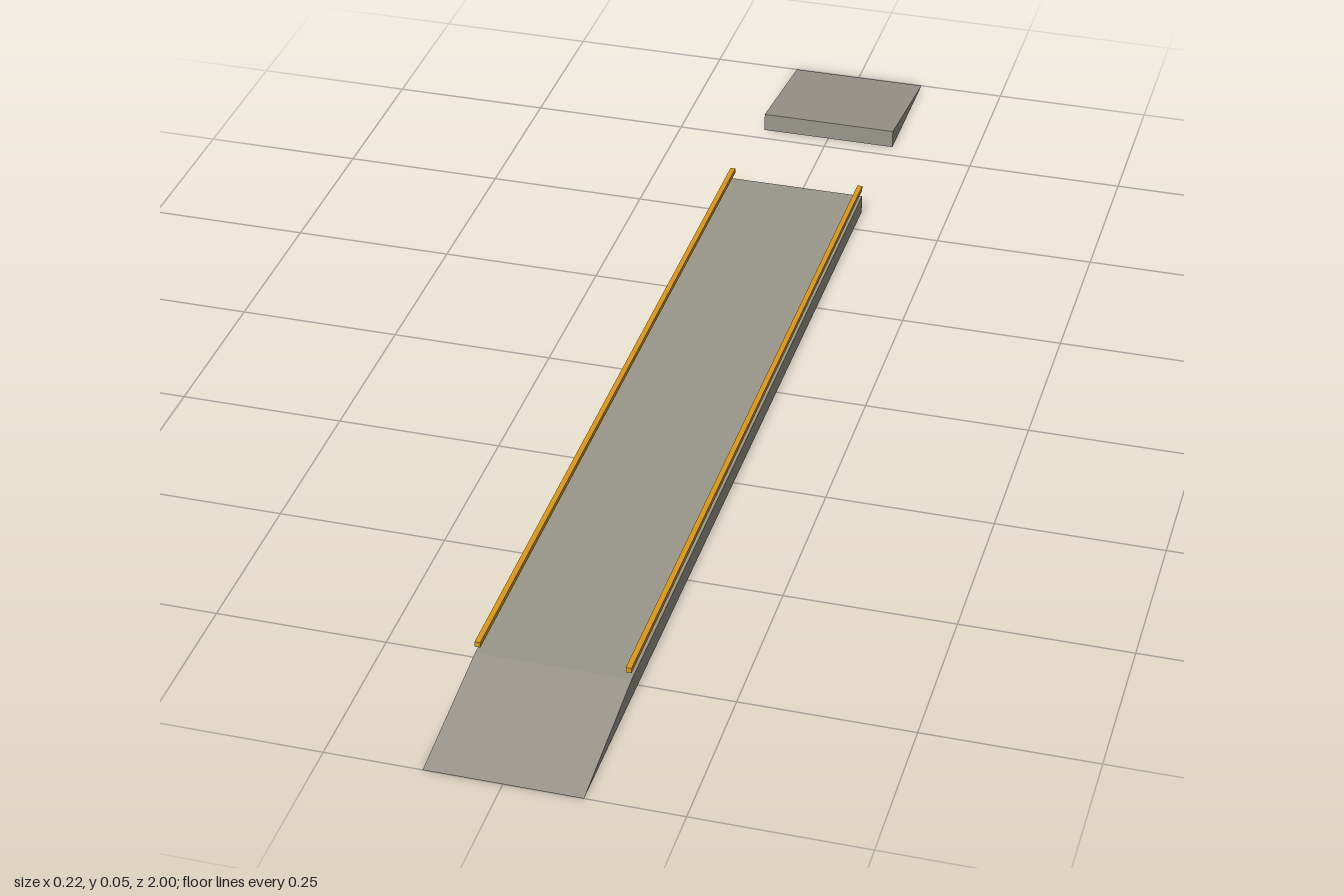
import * as THREE from 'three';

const WIDTH = 0.222, HEIGHT = 0.03;

// Extrudes a side profile of [z, y] points across the full width, centred on x.
function sideExtrusion(name, points, material) {
  const shape = new THREE.Shape(points.map(([z, y]) => new THREE.Vector2(-z, y)));
  const geometry = new THREE.ExtrudeGeometry(shape, { depth: WIDTH, bevelEnabled: false });
  geometry.translate(0, 0, -WIDTH / 2);
  geometry.rotateY(Math.PI / 2);
  const mesh = new THREE.Mesh(geometry, material);
  mesh.name = name;
  return mesh;
}

export function createModel() {
  const concrete = new THREE.MeshStandardMaterial({ color: 0x9a968c });
  concrete.name = 'concrete grey';
  const gold = new THREE.MeshStandardMaterial({ color: 0xdc9a14 });
  gold.name = 'golden yellow';

  const model = new THREE.Group();
  model.name = 'rampedPlatform';

  // Long deck and the sloped ends; the rear ramp stands apart behind a gap
  const deckFront = 0.778, deckBack = -0.556;
  model.add(
    sideExtrusion('deck', [[deckFront, 0], [deckBack, 0], [deckBack, HEIGHT], [deckFront, HEIGHT]], concrete),
    sideExtrusion('frontRamp', [[1, 0], [deckFront, 0], [deckFront, HEIGHT]], concrete),
    sideExtrusion('rearRamp', [[-0.778, 0], [-1, 0], [-0.778, HEIGHT]], concrete),
  );

  // Thin rails floating above both long edges
  const railSize = 0.008;
  for (const side of [-1, 1]) {
    const rail = new THREE.Mesh(new THREE.BoxGeometry(railSize, railSize, deckFront - deckBack), gold);
    rail.name = side > 0 ? 'leftRail' : 'rightRail';
    rail.position.set(side * (WIDTH - railSize) / 2, 0.045, (deckFront + deckBack) / 2);
    model.add(rail);
  }
  return model;
}
